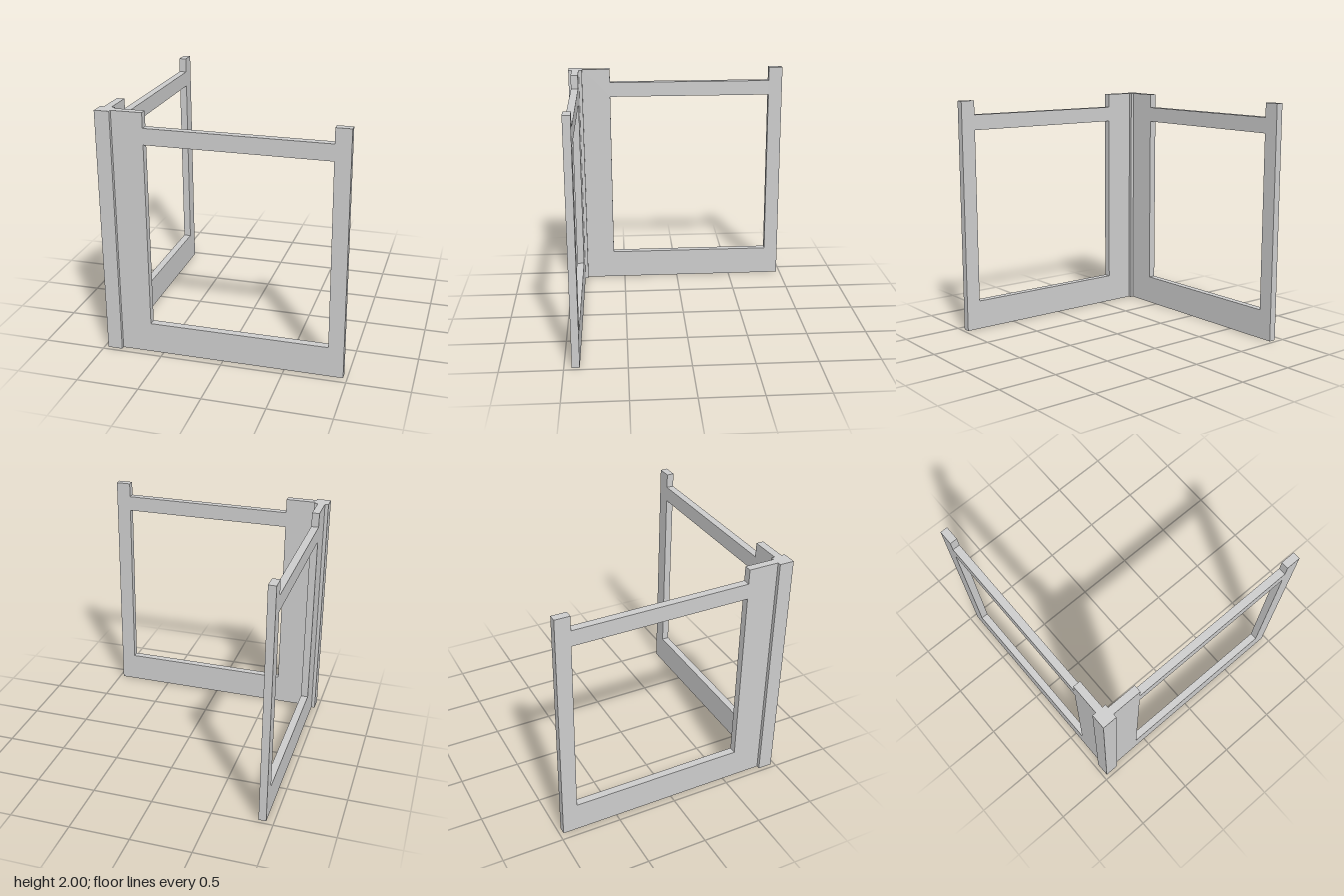
import * as THREE from 'three';

const material = new THREE.MeshStandardMaterial({ color: 0xcccccc });
const START = -0.848, END = 0.968, HEIGHT = 2, THICK = 0.062;
const OPEN_L = -0.6, OPEN_R = 0.845, SILL = 0.25, RAIL_LOW = 1.75, RAIL_TOP = 1.88;
const AXIS = 0.907;

const points = (list) => list.map(([x, y]) => new THREE.Vector2(x, y));

// Flat frame: wide inner stile, narrow outer stile, bottom board and lowered top rail
function createPanel(name) {
  const shape = new THREE.Shape(points([
    [START, 0], [END, 0], [END, HEIGHT], [OPEN_R, HEIGHT], [OPEN_R, RAIL_TOP],
    [OPEN_L, RAIL_TOP], [OPEN_L, HEIGHT], [START, HEIGHT],
  ]));
  shape.holes.push(new THREE.Path(points([
    [OPEN_L, SILL], [OPEN_L, RAIL_LOW], [OPEN_R, RAIL_LOW], [OPEN_R, SILL],
  ])));
  const geometry = new THREE.ExtrudeGeometry(shape, { depth: THICK, bevelEnabled: false });
  geometry.translate(0, 0, -THICK / 2);
  const mesh = new THREE.Mesh(geometry, material);
  mesh.name = name;
  return mesh;
}

export function createModel() {
  const model = new THREE.Group();
  model.name = 'cornerWindowFrame';

  // Square post in the corner
  const post = new THREE.Mesh(new THREE.BoxGeometry(0.12, HEIGHT, 0.12), material);
  post.name = 'cornerPost';
  post.position.set(-0.908, HEIGHT / 2, 0.908);

  // Two equal panels at a right angle
  const front = createPanel('frontPanel');
  front.position.z = AXIS;
  const side = createPanel('sidePanel');
  side.rotation.y = Math.PI / 2;
  side.position.x = -AXIS;

  model.add(post, front, side);
  return model;
}
